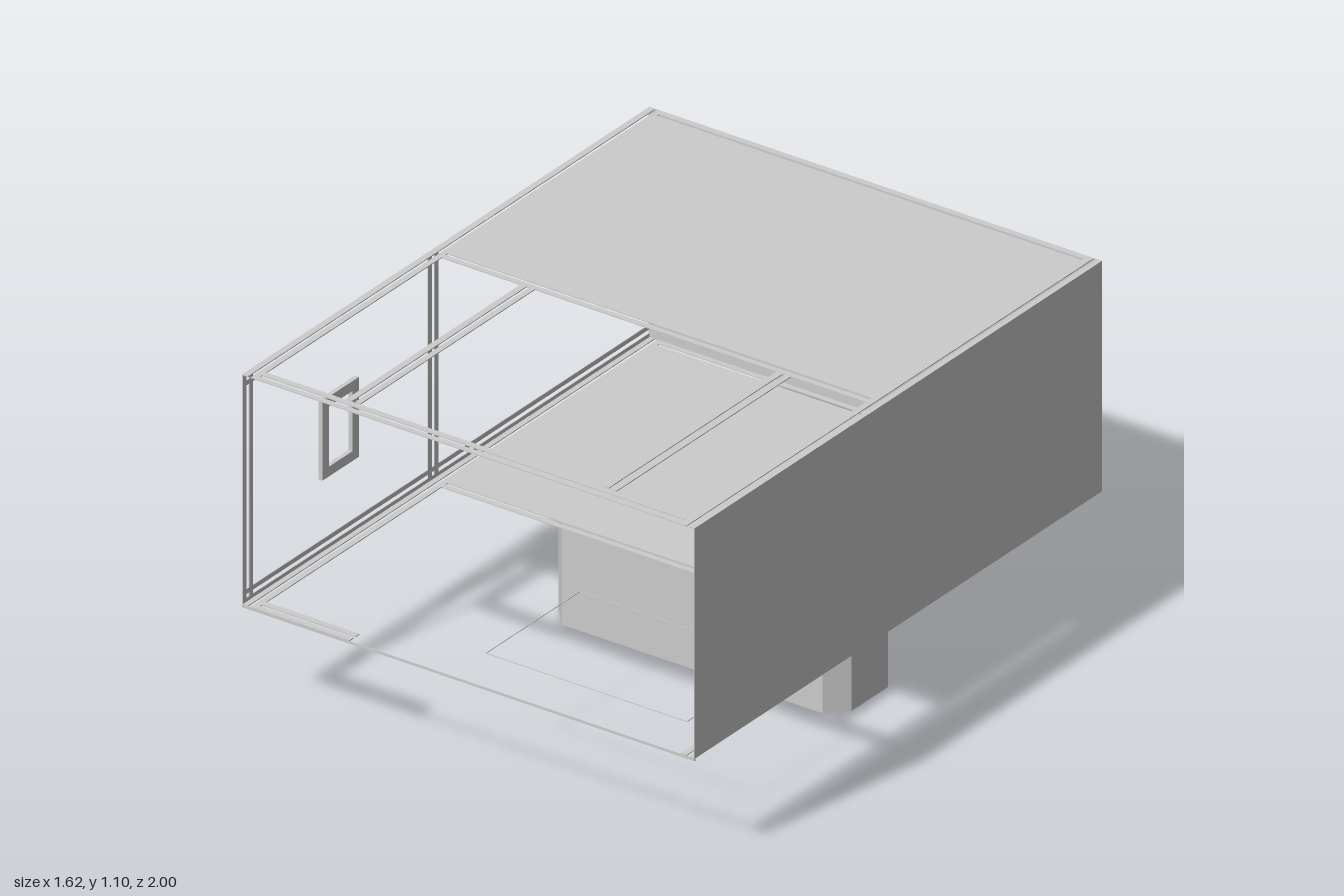
import * as THREE from 'three';

const T = 0.003; // sheet thickness
const mat = new THREE.MeshStandardMaterial({ color: 0xcccccc, side: THREE.DoubleSide, flatShading: true });

export function createModel() {
  const root = new THREE.Group();

  // box from min / max corners
  const box = (name, x0, x1, y0, y1, z0, z1, parent = root) => {
    const m = new THREE.Mesh(new THREE.BoxGeometry(x1 - x0, y1 - y0, z1 - z0), mat);
    m.position.set((x0 + x1) / 2, (y0 + y1) / 2, (z0 + z1) / 2);
    m.name = name;
    parent.add(m);
    return m;
  };

  const L = -0.79, R = 0.81, B = -1, F = 1, Y0 = 0.345, Y1 = 1.095;
  const iL = -0.74, iR = 0.76, iB = -0.95, iF = 0.945; // inner faces of the walls

  // pairs of flat strips with a slit between them
  const alongZ = (name, x, z0, z1, y) => {
    box(name, x, x + 0.021, y, y + T, z0, z1);
    box(name, x + 0.031, x + 0.05, y, y + T, z0, z1);
  };
  const alongX = (name, z, x0, x1, y) => {
    box(name, x0, x1, y, y + T, z, z + 0.021);
    box(name, x0, x1, y, y + T, z + 0.031, z + 0.05);
  };

  // solid walls, roof and rear floor
  box('rightSolidWall', R - T, R, Y0, Y1, B, F);
  box('backWall', L, R, Y0, Y1, B, B + T);
  box('roof', iL, iR, Y1 - T, Y1, iB, 0.05);
  box('rearFloor', iL, iR, Y0, Y0 + T, iB, 0.05);

  // wall caps, top and bottom
  for (const [y, name] of [[Y1 - T, 'topCap'], [Y0, 'bottomCap']]) {
    alongZ(name, L, B, F, y);
    alongZ(name, iR, B, F, y);
    alongX(name, B, iL, iR, y);
    alongX(name, 0.04, iL, iR, y);
  }
  alongX('frontTopCap', iF + 0.005, iL, iR, Y1 - T);
  alongX('frontBottomCap', iF + 0.005, iL, -0.41, Y0);
  alongZ('partitionCap', -0.46, 0.09, iF, Y1 - T);
  alongZ('partitionCap', 0.445, 0.09, iF, Y1 - T);

  // edge frame of the open side wall
  for (const z of [0.04, 0.95]) {
    box('sidePost', L, L + T, Y0, Y1, z, z + 0.018);
    box('sidePost', L, L + T, Y0, Y1, z + 0.032, z + 0.05);
  }
  for (const y of [Y0, Y0 + 0.028, Y1 - 0.043, Y1 - 0.015]) {
    box('sideRail', L, L + T, y, y + 0.015, B, F);
  }

  // thin skirt and floor outline at the open front
  box('frontSkirt', L, R, Y0 - 0.008, Y0, F - T, F);
  for (const x of [-0.05, 0.66]) box('floorOutline', x, x + 0.002, Y0, Y0 + 0.002, 0.37, 0.83);
  for (const z of [0.37, 0.83]) box('floorOutline', -0.05, 0.66, Y0, Y0 + 0.002, z, z + 0.002);

  // window frame
  const win = new THREE.Shape();
  win.moveTo(-0.09, -0.13).lineTo(0.09, -0.13).lineTo(0.09, 0.13).lineTo(-0.09, 0.13).closePath();
  const hole = new THREE.Path();
  hole.moveTo(-0.058, -0.098).lineTo(-0.058, 0.098).lineTo(0.058, 0.098).lineTo(0.058, -0.098).closePath();
  win.holes.push(hole);
  const frame = new THREE.Mesh(new THREE.ExtrudeGeometry(win, { depth: 0.014, bevelEnabled: false }), mat);
  frame.rotation.y = -Math.PI / 2;
  frame.position.set(L + 0.004, 0.71, 0.52);
  frame.name = 'windowFrame';
  root.add(frame);

  // small wall hook
  const hook = new THREE.Group();
  hook.name = 'wallHook';
  box('hookBase', -0.795, L, 0.98, 1.0, -0.475, -0.462, hook);
  const arm = box('hookArm', -0.813, -0.79, 0.985, 0.995, -0.483, -0.477, hook);
  arm.rotation.y = -0.8;
  root.add(hook);

  // sunken bay below the floor: chamfered front corners, open back and top
  const plan = [[-0.405, -0.2], [-0.405, -0.02], [-0.35, 0.04], [0.57, 0.04], [0.63, -0.02], [0.63, -0.2]];
  const base = new THREE.Shape(plan.map(([x, z]) => new THREE.Vector2(x, z)));
  const bottom = new THREE.Mesh(new THREE.ShapeGeometry(base), mat);
  bottom.rotation.x = Math.PI / 2;
  bottom.name = 'bayFloor';
  root.add(bottom);
  for (let i = 0; i < plan.length - 1; i++) {
    const [x0, z0] = plan[i], [x1, z1] = plan[i + 1];
    const w = new THREE.Mesh(new THREE.PlaneGeometry(Math.hypot(x1 - x0, z1 - z0), Y0), mat);
    w.position.set((x0 + x1) / 2, Y0 / 2, (z0 + z1) / 2);
    w.rotation.y = -Math.atan2(z1 - z0, x1 - x0);
    w.name = 'bayWall';
    root.add(w);
  }

  return root;
}
